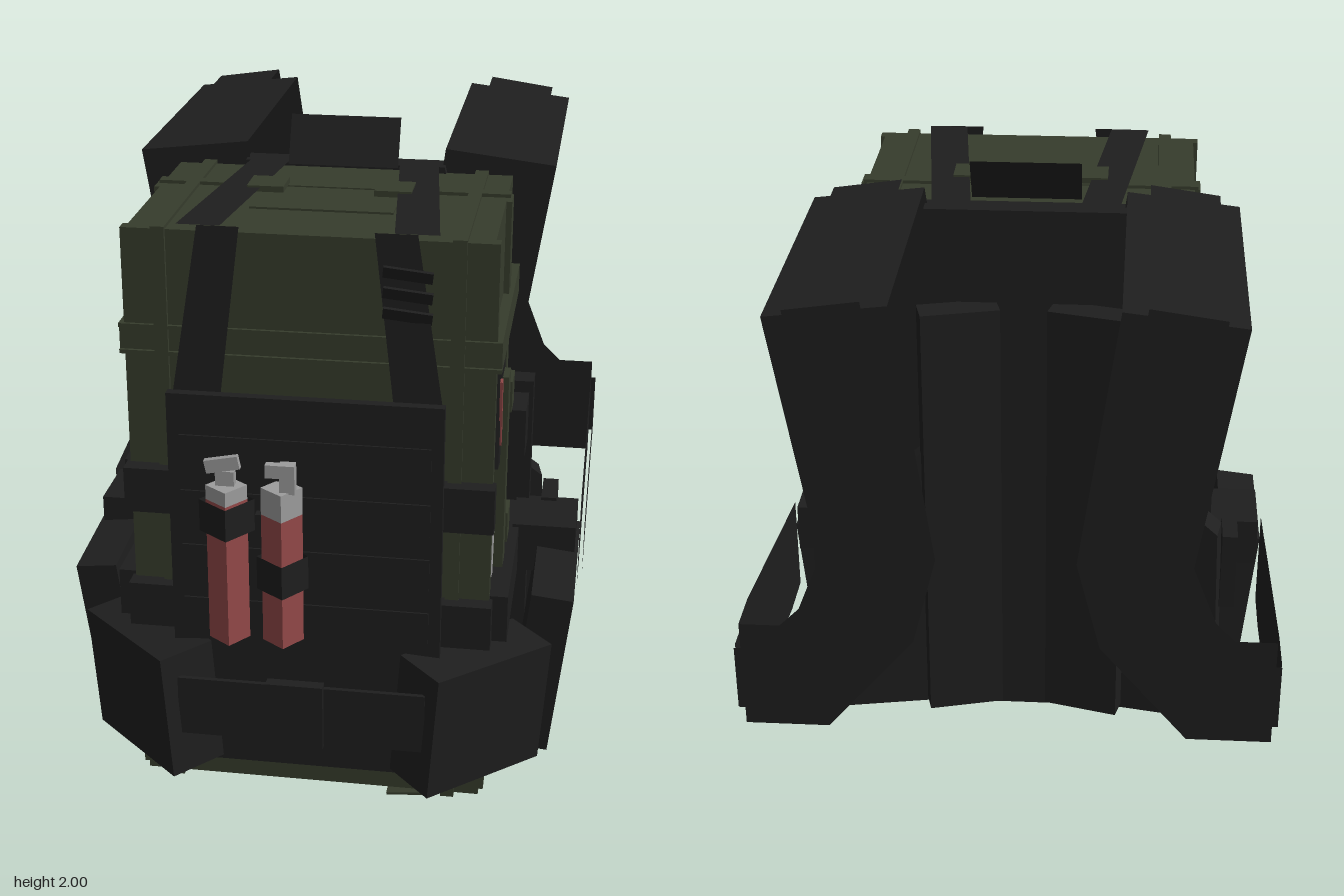
import * as THREE from 'three';

const mat = (name, color) => {
  const m = new THREE.MeshStandardMaterial({ color, side: THREE.DoubleSide });
  m.name = name;
  return m;
};

export function createModel() {
  const black = mat('blackWebbing', 0x1e1e1e);
  const olive = mat('oliveCanvas', 0x363c2c);
  const red = mat('redTube', 0x924848);
  const silver = mat('silverMetal', 0x9c9c9c);
  const model = new THREE.Group();
  model.name = 'backpack';

  const add = (name, geo, m, pos = [0, 0, 0], rot = [0, 0, 0]) => {
    const mesh = new THREE.Mesh(geo, m);
    mesh.name = name;
    mesh.position.set(...pos);
    mesh.rotation.set(...rot, 'YXZ');
    model.add(mesh);
    return mesh;
  };
  // box given by its min and max on each axis
  const span = (name, m, x0, x1, y0, y1, z0, z1) =>
    add(name, new THREE.BoxGeometry(x1 - x0, y1 - y0, z1 - z0), m,
      [(x0 + x1) / 2, (y0 + y1) / 2, (z0 + z1) / 2]);
  // flat strip through pairs of edge points
  const ribbon = (name, m, pairs) => {
    const v = [];
    for (let i = 0; i + 1 < pairs.length; i++) {
      const [a, b] = pairs[i], [c, d] = pairs[i + 1];
      v.push(...a, ...b, ...c, ...b, ...d, ...c);
    }
    const g = new THREE.BufferGeometry();
    g.setAttribute('position', new THREE.Float32BufferAttribute(v, 3));
    g.computeVertexNormals();
    return add(name, g, m);
  };
  const extrude = (name, m, pts, depth, z, rot) => {
    const shape = new THREE.Shape(pts.map(p => new THREE.Vector2(...p)));
    return add(name, new THREE.ExtrudeGeometry(shape, { depth, bevelEnabled: false }), m, [0, 0, z], rot);
  };

  // main bag with piping
  span('bag', olive, -0.52, 0.52, 0.06, 1.84, 0.01, 0.7);
  span('topFlap', olive, -0.21, 0.21, 1.84, 1.846, 0.02, 0.47);
  span('topSeam', olive, -0.53, 0.53, 1.84, 1.85, 0.21, 0.25);
  for (const y of [1.47, 1.55]) span('sideSeam', olive, -0.55, 0.55, y - 0.006, y + 0.006, 0.0, 0.71);
  for (const s of [-1, 1]) {
    span('cornerPiping', olive, s * 0.425 - 0.02, s * 0.425 + 0.02, 0.05, 1.85, 0.0, 0.712);
    span('edgePiping', olive, s * 0.525 - 0.01, s * 0.525 + 0.01, 0.08, 1.84, 0.66, 0.7);
    span('verticalRib', olive, s * 0.525 - 0.012, s * 0.525 + 0.012, 0.06, 1.84, 0.21, 0.29);
    span('sideBand', olive, s * 0.535 - 0.015, s * 0.535 + 0.015, 1.47, 1.55, 0.0, 0.7);
    span('topLoop', olive, s * 0.19 - 0.055, s * 0.19 + 0.055, 1.85, 1.868, 0.22, 0.33);
  }

  // back frame and padding
  extrude('backPanel', black, [[-0.61, 0.04], [0.61, 0.04], [0.61, 1.17], [0.48, 1.17],
    [0.31, 1.86], [-0.31, 1.86], [-0.48, 1.17], [-0.61, 1.17]], 0.08, -0.06);
  for (const s of [-1, 1]) {
    add('backPad', new THREE.BoxGeometry(0.25, 1.47, 0.09), black, [s * 0.205, 0.82, -0.105], [0, s * 0.25, 0]);
    extrude('lumbarWing', black, [[s * 0.15, 0.07], [s * 0.66, 0.07], [s * 0.64, 0.8], [s * 0.2, 1.15]],
      0.09, -0.05, [0, s * 0.18, 0]);
    span('hipPad', black, s * 0.675 - 0.025, s * 0.675 + 0.025, 0.5, 0.77, -0.12, 0.03);
  }

  // carry handle
  ribbon('carryHandle', black, [[[-0.17, 1.86, 0.05], [0.17, 1.86, 0.05]], [[-0.17, 2, -0.02], [0.17, 2, -0.02]]]);

  for (const s of [-1, 1]) {
    // shoulder strap: wide inner layer and narrow outer layer
    const flip = pairs => pairs.map(pr => pr.map(([x, y, z]) => [s * x, y, z]));
    const zs = -0.905, zo = -0.925;
    ribbon('shoulderStrapAnchor', black, flip([
      [[0.65, 1.87, -0.01], [0.31, 1.91, -0.01]], [[0.53, 1.1, -0.01], [0.2, 1.1, -0.01]]]));
    ribbon('shoulderStrapTop', black, flip([
      [[0.65, 1.87, -0.01], [0.31, 1.91, -0.01]], [[0.65, 1.87, zs], [0.31, 1.91, zs]]]));
    ribbon('shoulderStrapTopWeb', black, flip([
      [[0.59, 1.9, 0], [0.38, 1.93, 0]], [[0.59, 1.9, zo], [0.38, 1.93, zo]]]));
    ribbon('shoulderStrapBack', black, flip([
      [[0.65, 1.87, zs], [0.31, 1.91, zs]], [[0.53, 1.13, zs], [0.2, 1.13, zs]],
      [[0.6, 0.95, zs], [0.27, 0.85, zs]], [[0.66, 0.89, zs], [0.53, 0.54, zs]],
      [[0.78, 0.89, zs], [0.78, 0.54, zs]]]));
    ribbon('shoulderStrapBackWeb', black, flip([
      [[0.59, 1.9, zo], [0.38, 1.93, zo]], [[0.47, 1.13, zo], [0.26, 1.13, zo]],
      [[0.53, 0.92, zo], [0.34, 0.86, zo]], [[0.63, 0.82, zo], [0.57, 0.61, zo]],
      [[0.795, 0.82, zo], [0.795, 0.61, zo]]]));
    ribbon('shoulderStrapLower', black, flip([
      [[0.78, 0.89, zs], [0.78, 0.54, zs]], [[0.78, 0.89, -0.77], [0.78, 0.54, -0.77]],
      [[0.78, 0.795, -0.15], [0.78, 0.45, -0.15]], [[0.78, 0.77, 0.02], [0.78, 0.45, 0.02]]]));
    ribbon('shoulderStrapLowerWeb', black, flip([
      [[0.795, 0.82, zs], [0.795, 0.61, zs]], [[0.795, 0.82, -0.77], [0.795, 0.61, -0.77]],
      [[0.795, 0.72, -0.15], [0.795, 0.52, -0.15]], [[0.795, 0.69, 0.02], [0.795, 0.5, 0.02]]]));

    // hip belt pockets
    add('sidePocket', new THREE.BoxGeometry(0.13, 0.56, 0.5), black, [s * 0.685, 0.4, 0.25], [0.06, 0, -s * 0.11]);
    add('cornerPocket', new THREE.BoxGeometry(0.44, 0.4, 0.18), black, [s * 0.49, 0.375, 0.705],
      [0.05, s * Math.PI / 4, -s * 0.05]);
    span('hipBelt', black, s * 0.56 - 0.03, s * 0.56 + 0.03, 0.6, 0.75, 0.0, 0.69);
    span('hipBeltBuckle', black, s * 0.67 - 0.1, s * 0.67 + 0.1, 0.6, 0.76, 0.0, 0.22);

    // straps over the lid and down the front
    ribbon('lidStrap', black, flip([
      [[0.17, 1.862, 0.0], [0.29, 1.862, 0.0]], [[0.245, 1.862, 0.715], [0.37, 1.862, 0.715]]]));
    ribbon('frontStrap', black, flip([
      [[0.19, 1.862, 0.718], [0.31, 1.862, 0.718]], [[0.25, 1.36, 0.74], [0.39, 1.36, 0.74]]]));

    // tabs joining the front panel to the sides
    for (const y of [0.67, 1.05])
      span('panelTab', black, s * 0.47 - 0.075, s * 0.47 + 0.075, y - 0.07, y + 0.07, 0.69, 0.75);
  }
  for (let i = 0; i < 3; i++)
    add('strapSlider', new THREE.BoxGeometry(0.14, 0.035, 0.01), black, [0.285, 1.63 + i * 0.06, 0.73], [0.3, 0, -0.12]);

  // left side: sheath, tool pouch, tube and blade
  span('sideClip', black, 0.53, 0.6, 1.0, 1.16, 0.09, 0.24);
  add('sidePouch', new THREE.BoxGeometry(0.02, 0.3, 0.14), black, [0.532, 1.26, 0.51], [-0.15, 0, 0]);
  add('sidePouchTube', new THREE.BoxGeometry(0.008, 0.21, 0.025), red, [0.543, 1.29, 0.57], [0.12, 0, 0]);
  add('sideBlade', new THREE.BoxGeometry(0.008, 0.16, 0.045), silver, [0.53, 0.85, 0.58], [-0.2, 0, 0]);
  span('sideSheath', olive, 0.52, 0.56, 0.76, 1.38, 0.44, 0.52);
  span('sheathTie', olive, 0.52, 0.55, 1.19, 1.25, 0.25, 0.46);
  for (const y of [0.8, 1.24]) span('sheathBuckle', olive, 0.52, 0.56, y - 0.05, y + 0.05, 0.23, 0.33);

  // right side: wrapped strap, clips and canvas pouch
  span('sideStrap', black, -0.555, -0.52, 0.98, 1.12, 0.0, 0.69);
  span('sideClip', black, -0.6, -0.53, 1.0, 1.16, 0.09, 0.24);
  span('shoulderClip', black, -0.6, -0.55, 1.46, 1.58, 0.1, 0.22);
  span('canvasPouch', olive, -0.55, -0.52, 0.72, 0.95, 0.2, 0.55);

  // front webbing panel
  span('frontPanel', black, -0.4, 0.4, 0.17, 1.38, 0.755, 0.785);
  for (const y of [0.68, 0.855, 1.03, 1.205])
    span('webbingRow', black, -0.365, 0.365, y - 0.05, y + 0.05, 0.785, 0.791);

  // front belt and buckle
  span('frontBelt', black, -0.37, 0.37, 0.32, 0.51, 0.878, 0.892);
  span('buckle', black, -0.1, 0.07, 0.315, 0.525, 0.88, 0.915);

  // two square tubes with metal caps, held by open loops
  const tube = (name, m, x, z, y0, y1, r, open = false) =>
    add(name, new THREE.CylinderGeometry(r, r, y1 - y0, 4, 1, open).toNonIndexed(), m,
      [x, (y0 + y1) / 2, z], [0, 0.15, 0]).geometry.computeVertexNormals();
  for (const [x, z, cap] of [[-0.22, 0.83, 1.08], [-0.06, 0.825, 1.04]]) {
    tube('flareTube', red, x, z, 0.63, cap, 0.06);
    tube('flareCap', silver, x, z, cap, 1.125, 0.06);
  }
  tube('flareLoop', black, -0.22, 0.83, 0.98, 1.08, 0.08, true);
  tube('flareLoop', black, -0.06, 0.825, 0.8, 0.905, 0.075, true);
  span('flareClip', black, -0.14, -0.11, 0.98, 1.03, 0.79, 0.82);
  span('flareNeck', silver, -0.25, -0.195, 1.12, 1.17, 0.81, 0.84);
  add('flareLever', new THREE.BoxGeometry(0.1, 0.04, 0.02), silver, [-0.23, 1.19, 0.83], [0, 0, 0.2]);
  span('flareNeck', silver, -0.06, -0.015, 1.12, 1.21, 0.83, 0.86);
  span('flareLever', silver, -0.1, -0.015, 1.17, 1.21, 0.84, 0.865);

  // underside panel and loose tab
  span('basePanel', black, -0.4, 0.4, 0.045, 0.06, 0.02, 0.3);
  add('baseTab', new THREE.BoxGeometry(0.15, 0.008, 0.52), olive, [0.305, 0.012, 0.4], [0, 0, 0.09]);

  return model;
}
